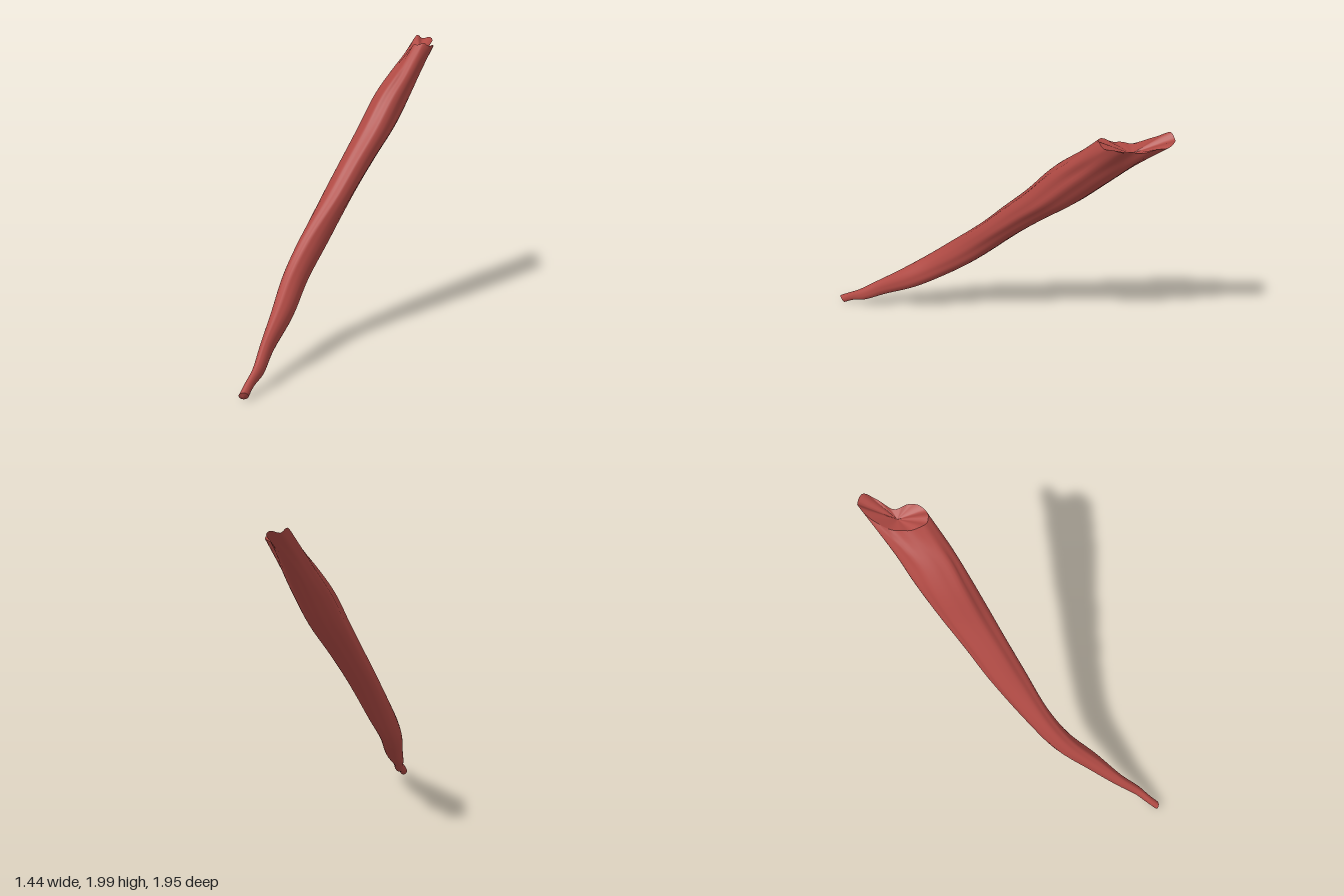
import * as THREE from 'three';

const SEG = 48;      // points around each ring
const STEPS = 60;    // rings along the length

// Joins rings of points into one smooth surface (rings run tip to top, or rim to centre)
function loft(rings) {
  const pos = [], idx = [];
  rings.forEach(r => r.forEach(p => pos.push(p.x, p.y, p.z)));
  for (let i = 0; i < rings.length - 1; i++) {
    for (let j = 0; j < SEG; j++) {
      const a = i * SEG + j, b = i * SEG + (j + 1) % SEG;
      idx.push(a, a + SEG, b, b, a + SEG, b + SEG);
    }
  }
  const g = new THREE.BufferGeometry();
  g.setAttribute('position', new THREE.Float32BufferAttribute(pos, 3));
  g.setIndex(idx);
  g.computeVertexNormals();
  return g;
}

// Rings that shrink from a rim towards a centre point
function towards(ring, centre, amounts) {
  return amounts.map(k => ring.map(p => p.clone().lerp(centre, k)));
}

export function createModel() {
  const group = new THREE.Group();
  group.name = 'muscle';
  const red = new THREE.MeshStandardMaterial({ color: 0xb04a44, side: THREE.DoubleSide });
  red.name = 'muscleRed';

  // Cross-sections: centre x, y, z, half sizes x, y, z, skew
  const sections = [
    [-0.70, 0.033, 0.965, 0.028, 0.025, 0.014, -0.1],
    [-0.665, 0.075, 0.90, 0.028, 0.027, 0.016, -0.1],
    [-0.615, 0.12, 0.82, 0.034, 0.037, 0.02, -0.2],
    [-0.56, 0.21, 0.68, 0.042, 0.047, 0.03, -0.2],
    [-0.46, 0.35, 0.48, 0.068, 0.057, 0.05, -0.25],
    [-0.365, 0.52, 0.265, 0.083, 0.052, 0.075, -0.3],
    [-0.24, 0.71, 0.095, 0.098, 0.04, 0.09, -0.3],
    [-0.045, 1.0, -0.115, 0.106, 0, 0.135, -0.2],
    [0.095, 1.2, -0.25, 0.116, 0, 0.15, -0.2],
    [0.24, 1.4, -0.39, 0.13, 0, 0.17, -0.2],
    [0.365, 1.6, -0.515, 0.132, 0, 0.187, -0.25],
    [0.47, 1.75, -0.615, 0.113, 0, 0.195, -0.28],
  ];

  // Torn upper rim: front lobe, dip on each side, tall back tongue
  const rim = new THREE.CatmullRomCurve3([
    [0.65, 1.90, -0.76], [0.675, 1.93, -0.67], [0.64, 1.93, -0.59],
    [0.585, 1.945, -0.56], [0.53, 1.94, -0.575], [0.51, 1.91, -0.66],
    [0.515, 1.89, -0.75], [0.545, 1.92, -0.86], [0.60, 1.99, -0.95],
    [0.65, 1.975, -0.975], [0.715, 1.97, -0.94], [0.69, 1.93, -0.86],
  ].map(p => new THREE.Vector3(...p)), true);

  // One lengthwise fibre line for each point around, with soft grooves that deepen upwards
  const strands = [];
  for (let j = 0; j < SEG; j++) {
    const t = j / SEG * Math.PI * 2;
    const pts = sections.map(([x, y, z, hx, hy, hz, skew], i) => {
      const k = 1 + 0.003 * i * (Math.sin(7 * t + 0.3 * i) + 0.6 * Math.sin(11 * t)) - 0.002 * i;
      const s = Math.sin(t + Math.asin(skew)) * k;
      return new THREE.Vector3(x + hx * Math.cos(t) * k, y + hy * s, z + hz * s);
    });
    const top = rim.getPoint(j / SEG);
    top.y += 0.006 * Math.sin(9 * t);
    pts.push(top);
    strands.push(new THREE.CatmullRomCurve3(pts));
  }
  const rings = [];
  for (let i = 0; i <= STEPS; i++) rings.push(strands.map(s => s.getPoint(i / STEPS)));

  const add = (name, ringList) => {
    const m = new THREE.Mesh(loft(ringList), red);
    m.name = name;
    group.add(m);
  };
  add('muscleBody', rings);
  // Blunt lower end
  add('lowerTip', towards(rings[0], new THREE.Vector3(-0.703, 0.028, 0.972), [1, 0.5, 0]));
  // Shallow hollow inside the torn rim
  add('upperHollow', towards(rings[STEPS], new THREE.Vector3(0.60, 1.87, -0.75), [0, 0.25, 0.5, 0.75, 1]));
  return group;
}
